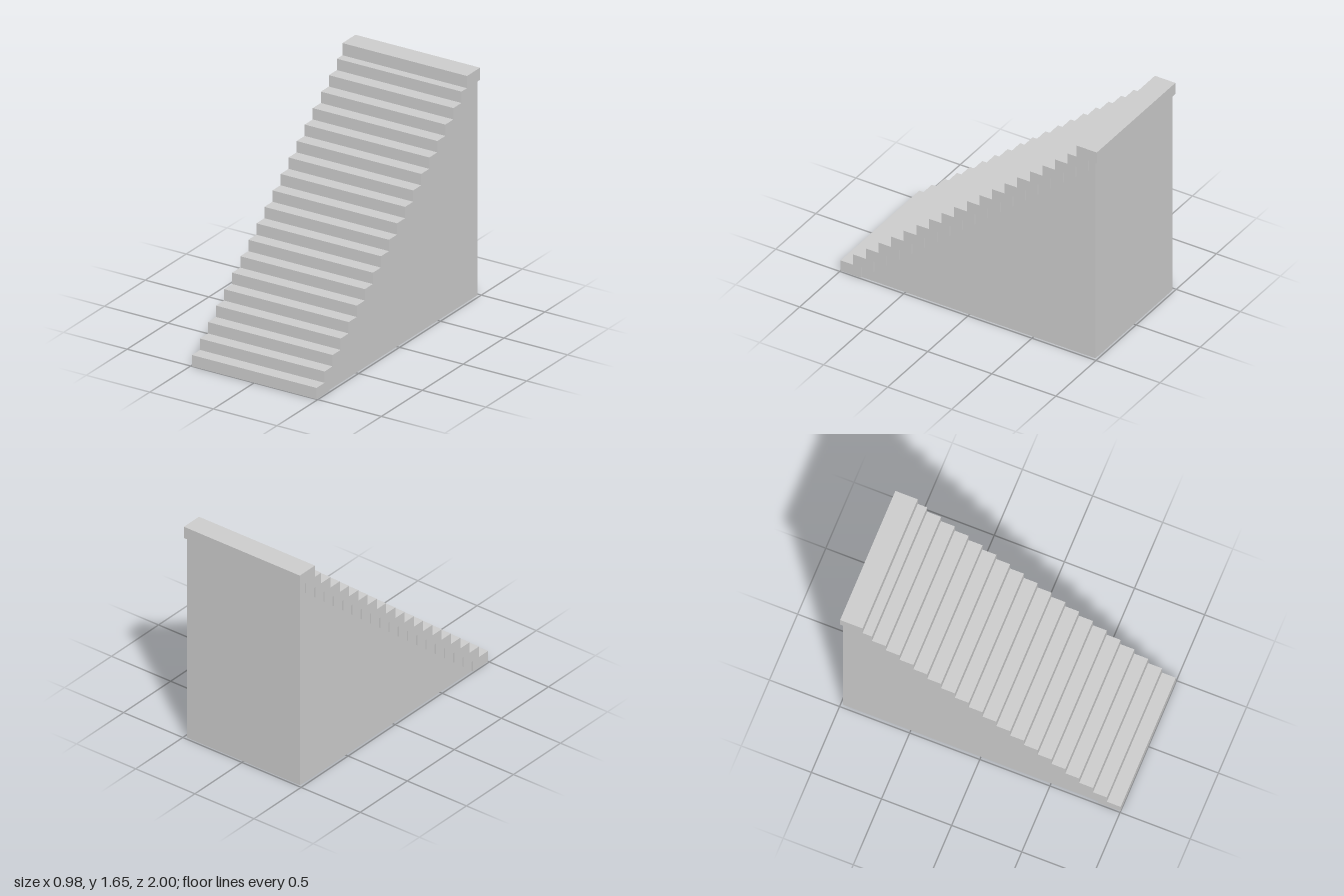
import * as THREE from 'three';

const STEPS = 20;
const RISE = 0.0821;
const RUN = 0.0985;
const TREAD_DEPTH = 0.16;
const TREAD_WIDTH = 0.98;
const BODY_WIDTH = 0.958;
const BODY_BACK = -0.983;
const TOP = 1.648;

// Front z of a step; the last one is pulled forward to cap the flight
const stepFront = (i) => (i === STEPS - 1 ? -1 + TREAD_DEPTH : 1 - i * RUN);

export function createModel() {
  const group = new THREE.Group();
  const material = new THREE.MeshStandardMaterial({ color: 0xcccccc, flatShading: true });

  // Steps: overlapping slabs climbing towards the back
  const steps = new THREE.Group();
  steps.name = 'steps';
  for (let i = 0; i < STEPS; i++) {
    const bottom = i * RISE;
    const top = i === STEPS - 1 ? TOP : bottom + RISE;
    const step = new THREE.Mesh(new THREE.BoxGeometry(TREAD_WIDTH, top - bottom, TREAD_DEPTH), material);
    step.position.set(0, (bottom + top) / 2, stepFront(i) - TREAD_DEPTH / 2);
    step.name = i === STEPS - 1 ? 'topStep' : 'step';
    steps.add(step);
  }
  group.add(steps);

  // Solid base: slightly narrower, its stepped upper edge hidden inside the slabs
  const profile = new THREE.Shape();
  profile.moveTo(BODY_BACK, 0);
  profile.lineTo(1 - TREAD_DEPTH, 0);
  profile.lineTo(1 - TREAD_DEPTH, RISE / 2);
  for (let i = 1; i < STEPS; i++) {
    const z = stepFront(i) - 0.05;
    profile.lineTo(z, (i - 0.5) * RISE);
    profile.lineTo(z, (i + 0.5) * RISE);
  }
  profile.lineTo(BODY_BACK, (STEPS - 0.5) * RISE);
  profile.closePath();

  const baseGeometry = new THREE.ExtrudeGeometry(profile, { depth: BODY_WIDTH, bevelEnabled: false });
  baseGeometry.translate(0, 0, -BODY_WIDTH / 2).rotateY(-Math.PI / 2);
  const base = new THREE.Mesh(baseGeometry, material);
  base.name = 'base';
  group.add(base);

  return group;
}
